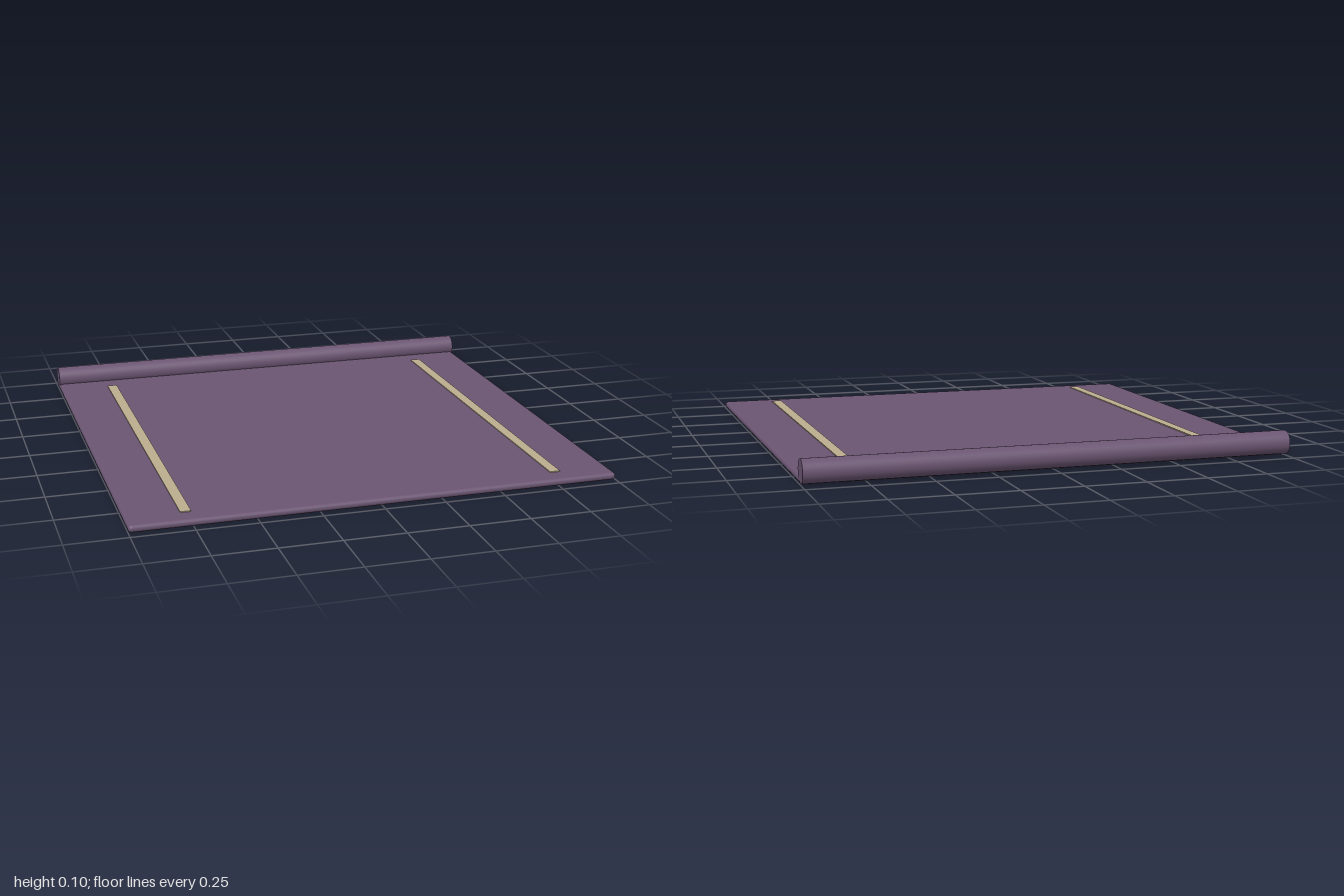
import * as THREE from 'three';
import { RoundedBoxGeometry } from 'three/addons/geometries/RoundedBoxGeometry.js';

export function createModel() {
  const model = new THREE.Group();
  model.name = 'exerciseMat';

  const matPurple = new THREE.MeshStandardMaterial({ name: 'mat purple', color: 0x6b5572 });
  const stripeSand = new THREE.MeshStandardMaterial({ name: 'stripe sand', color: 0xbcae8e });

  const add = (name, geometry, material, x, y, z) => {
    const mesh = new THREE.Mesh(geometry, material);
    mesh.name = name;
    mesh.position.set(x, y, z);
    model.add(mesh);
    return mesh;
  };

  // Flat mat with softly rounded edges, ending under the roll
  const front = 0.965, back = -0.917, thickness = 0.03;
  add('mat', new RoundedBoxGeometry(2, thickness, front - back, 4, 0.0145), matPurple,
    0, thickness / 2, (front + back) / 2);

  // Rolled-up end along the back edge
  const roll = add('rolledEnd', new THREE.CylinderGeometry(0.048, 0.048, 2, 32), matPurple,
    0, 0.053, -0.917);
  roll.rotation.z = Math.PI / 2;

  // Thin alignment stripes on the top face
  for (const side of [-1, 1]) {
    add(side > 0 ? 'leftStripe' : 'rightStripe', new THREE.BoxGeometry(0.043, 0.006, 1.665),
      stripeSand, side * 0.765, 0.031, 0.053);
  }

  return model;
}
